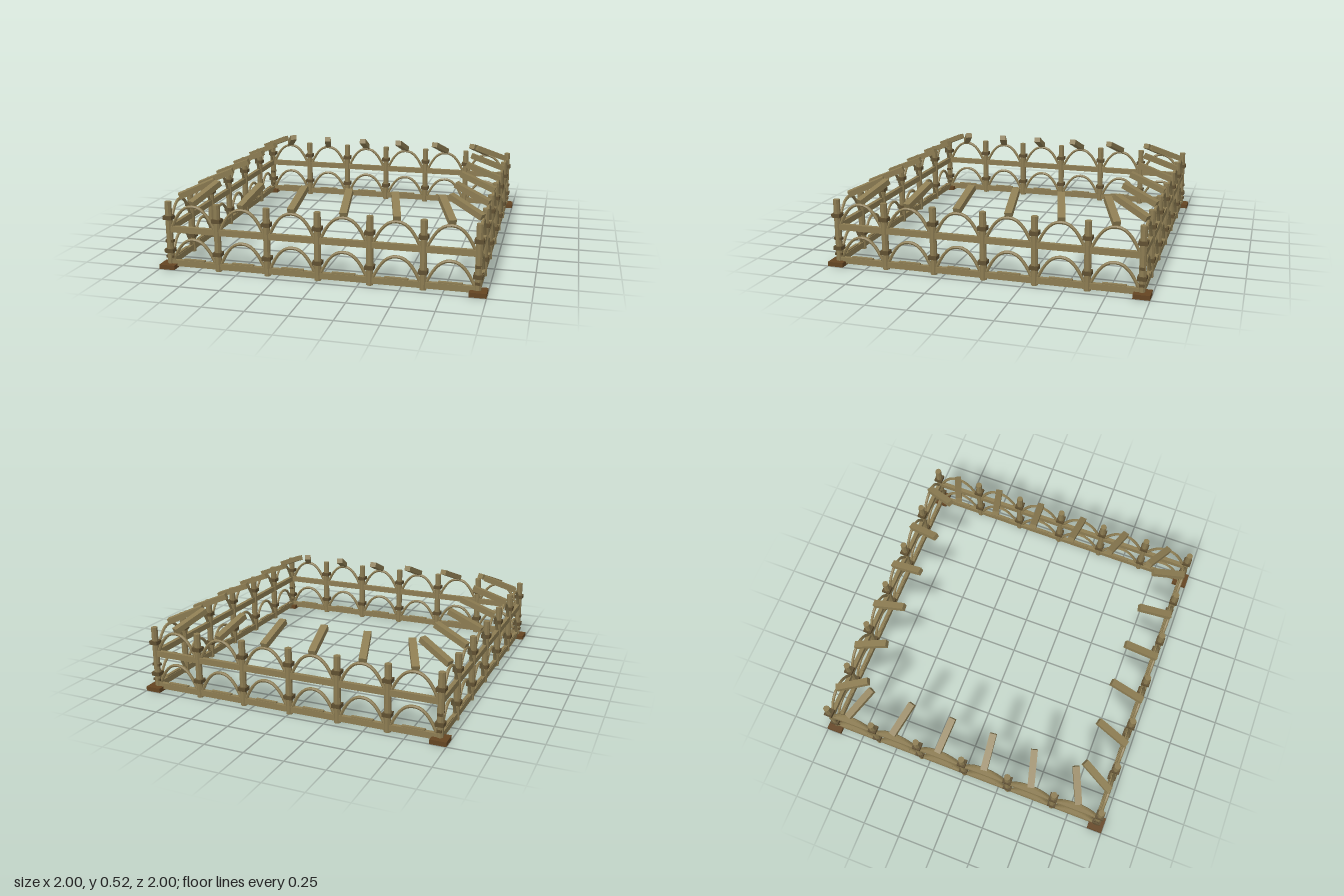
import * as THREE from 'three';

const mat = (name, color) => {
  const m = new THREE.MeshStandardMaterial({ color, flatShading: true });
  m.name = name;
  return m;
};

export function createModel() {
  const model = new THREE.Group();
  model.name = 'fencedEnclosure';
  const wood = mat('khakiWood', 0x8c7c52);
  const binding = mat('darkBinding', 0x5f4f30);
  const foot = mat('brownFoot', 0x644522);

  const EDGE = 0.945, BAY = 0.315;

  const add = (parent, name, geo, material, x = 0, y = 0, z = 0) => {
    const m = new THREE.Mesh(geo, material);
    m.name = name;
    m.position.set(x, y, z);
    parent.add(m);
    return m;
  };

  // Shared geometries
  const postGeo = new THREE.CylinderGeometry(0.021, 0.021, 0.42, 8).rotateY(Math.PI / 8);
  const collarGeo = new THREE.BoxGeometry(0.054, 0.024, 0.054);
  const tieGeo = new THREE.BoxGeometry(0.05, 0.016, 0.03);
  const railGeo = new THREE.BoxGeometry(EDGE * 2, 0.038, 0.026);
  const sillGeo = new THREE.BoxGeometry(0.14, 0.01, 0.02);
  const beamGeo = new THREE.BoxGeometry(0.044, 0.036, 0.24);

  // Bent arch: a parabola between two posts
  class Arch extends THREE.Curve {
    getPoint(t, target = new THREE.Vector3()) {
      const u = 2 * t - 1;
      return target.set(u * 0.138, 0.138 * (1 - Math.pow(Math.abs(u), 2.3)), 0);
    }
  }
  const archGeo = new THREE.TubeGeometry(new Arch(), 16, 0.01, 6);

  // One side, facing +z; its corner post stands at the left end
  function buildSide(name) {
    const side = new THREE.Group();
    side.name = name;

    add(side, 'bottomRail', railGeo, wood, 0, 0.031, EDGE);
    add(side, 'middleRail', railGeo, wood, 0, 0.247, EDGE);

    for (let i = 0; i < 6; i++) {
      const x = -EDGE + i * BAY;
      add(side, 'post', postGeo, wood, x, 0.21, EDGE);
      for (const y of [0.11, 0.32]) add(side, 'postCollar', collarGeo, binding, x, y, EDGE);

      // Arches and sill of the bay
      const mid = x + BAY / 2;
      add(side, 'lowerArch', archGeo, wood, mid, 0.047, EDGE);
      add(side, 'upperArch', archGeo, wood, mid, 0.258, EDGE);
      add(side, 'baySill', sillGeo, wood, mid, 0.054, EDGE);

      // Inward leaning beam, fanned toward the middle
      const fan = THREE.MathUtils.degToRad(10) * (mid / BAY);
      const beam = add(side, 'leaningBeam', beamGeo, wood, mid * 0.945, 0.457, 0.842);
      beam.rotation.set(0.38, fan, 0, 'YXZ');
    }

    // Corner foot and bindings
    add(side, 'cornerFoot', new THREE.BoxGeometry(0.1, 0.028, 0.1), foot, -0.95, 0.014, 0.95);
    for (const y of [0.07, 0.17]) add(side, 'cornerTie', tieGeo, binding, -EDGE, y, EDGE);
    return side;
  }

  ['frontSide', 'leftSide', 'backSide', 'rightSide'].forEach((name, i) => {
    const side = buildSide(name);
    side.rotation.y = i * Math.PI / 2;
    model.add(side);
  });
  return model;
}
